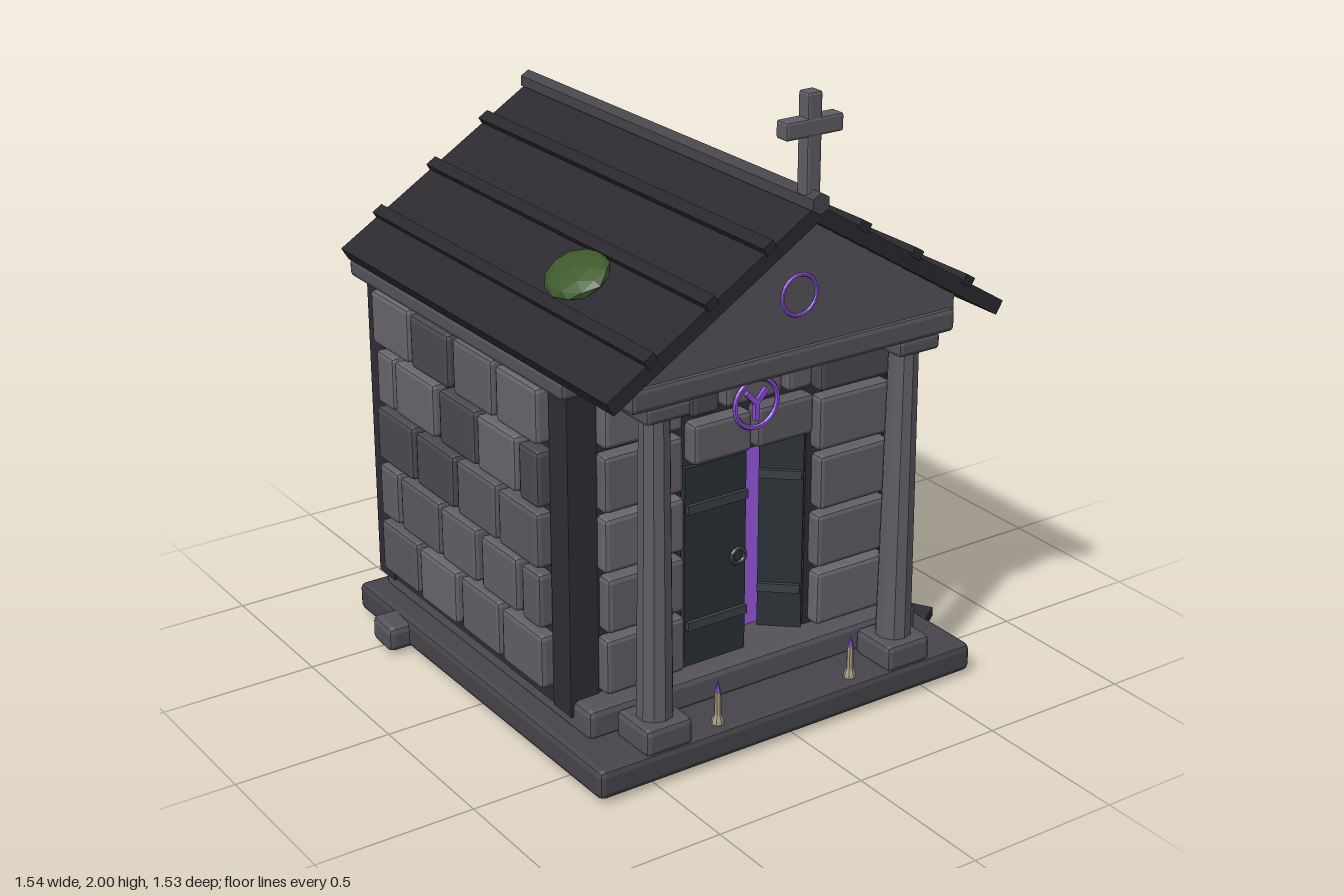
import * as THREE from 'three';
import { RoundedBoxGeometry } from 'three/addons/geometries/RoundedBoxGeometry.js';

const mat = (color, side = THREE.FrontSide) =>
  new THREE.MeshStandardMaterial({ color, flatShading: true, side });
const STONE = mat(0x55535a), SLAB = mat(0x47454b), MORTAR = mat(0x302e35), ROOF = mat(0x2b292f),
  TRIM = mat(0x29272d), PILLAR = mat(0x605e64), DOOR = mat(0x2a3136), IRON = mat(0x3a4046),
  GLOW = mat(0x9a5ae6, THREE.DoubleSide), RUNE = mat(0x8a4fd8), MOSS = mat(0x3d5a2c), WAX = mat(0xa39a80);
const BRICKS = [0x5c5a60, 0x68666c, 0x625f66, 0x4c4a4f].map((c) => mat(c));

// Small seeded generator for the masonry variation
let seed = 7;
const rand = () => (seed = (seed * 16807) % 2147483647) / 2147483647;

function add(parent, name, geometry, material, x = 0, y = 0, z = 0) {
  const mesh = new THREE.Mesh(geometry, material);
  mesh.name = name;
  mesh.position.set(x, y, z);
  parent.add(mesh);
  return mesh;
}

function group(parent, name, x = 0, y = 0, z = 0) {
  const g = new THREE.Group();
  g.name = name;
  g.position.set(x, y, z);
  parent.add(g);
  return g;
}

// Box given by its limits, with chamfered edges when bevel > 0
function block(parent, name, material, [x0, x1], [y0, y1], [z0, z1], bevel = 0) {
  const w = x1 - x0, h = y1 - y0, d = z1 - z0;
  const geo = bevel ? new RoundedBoxGeometry(w, h, d, 1, bevel) : new THREE.BoxGeometry(w, h, d);
  return add(parent, name, geo, material, (x0 + x1) / 2, (y0 + y1) / 2, (z0 + z1) / 2);
}

const ROW = 0.194, ROW0 = 0.2;
// One brick on a wall plane facing local +z
function brick(wall, x0, x1, row, h = 0.175) {
  const j = () => (rand() - 0.5) * 0.012;
  const y = ROW0 + row * ROW + 0.008;
  const m = block(wall, 'brick', BRICKS[Math.floor(rand() * 4)],
    [x0 + 0.01 + j(), x1 - 0.01 + j()], [y + j() / 2, y + h + j() / 2], [-0.03, 0.042 + j() / 2], 0.014);
  m.rotation.z = j();
}

// Running-bond wall: four bricks a row, halves at the ends of alternate rows
function brickWall(parent, name, width, x, z, turn) {
  const wall = group(parent, name, x, 0, z);
  wall.rotation.y = turn;
  const unit = width / 4;
  for (let r = 0; r < 5; r++) {
    const cuts = r % 2 ? [0, 0.55, 1.6, 2.55, 3.5, 4] : [0, 1, 2, 3, 4];
    for (let i = 0; i + 1 < cuts.length; i++)
      brick(wall, -width / 2 + cuts[i] * unit, -width / 2 + cuts[i + 1] * unit, r);
  }
}

export function createModel() {
  const root = new THREE.Group();
  root.name = 'mausoleum';
  const m = group(root, 'building', -0.015);

  // Plinth and step
  block(m, 'plinth', SLAB, [-0.685, 0.685], [0.02, 0.113], [-0.745, 0.7], 0.02);
  block(m, 'step', STONE, [-0.608, 0.608], [0.1, 0.2], [-0.705, 0.525], 0.02);

  // Wall core with a door recess, and corner posts
  block(m, 'wallCore', MORTAR, [-0.61, 0.61], [0.15, 1.2], [-0.713, 0.33]);
  for (const s of [-1, 1]) {
    const side = s < 0 ? [-0.61, -0.228] : [0.228, 0.61];
    block(m, 'frontWall', MORTAR, side, [0.15, 1.2], [0.33, 0.433]);
    for (const z of [[0.345, 0.44], [-0.72, -0.625]])
      block(m, 'cornerPost', MORTAR, s < 0 ? [-0.617, -0.52] : [0.52, 0.617], [0.15, 1.2], z);
  }
  block(m, 'doorHead', MORTAR, [-0.228, 0.228], [0.845, 1.2], [0.33, 0.433]);
  block(m, 'cornice', STONE, [-0.657, 0.657], [1.165, 1.225], [-0.76, 0.48], 0.015);

  // Masonry
  brickWall(m, 'leftWall', 0.98, 0.615, -0.14, Math.PI / 2);
  brickWall(m, 'rightWall', 0.98, -0.615, -0.14, -Math.PI / 2);
  brickWall(m, 'backWall', 1.07, 0, -0.718, Math.PI);
  const front = group(m, 'frontMasonry', 0, 0, 0.438);
  for (let r = 0; r < 5; r++) {
    brick(front, -0.525, -0.235, r);
    brick(front, 0.235, 0.525, r);
  }
  brick(front, -0.225, 0, 3.35, 0.13);
  brick(front, 0, 0.225, 3.35, 0.13);
  for (const [a, b] of [[-0.225, -0.11], [-0.11, 0.11], [0.11, 0.225]]) brick(front, a, b, 4.15, 0.14);

  // Doorway: closed leaf, glowing interior, leaf ajar
  add(m, 'doorGlow', new THREE.PlaneGeometry(0.45, 0.645), GLOW, 0, 0.522, 0.335);
  const leaf = (name, x, length, s) => {
    const g = group(m, name, x, 0, 0.43);
    const span = (a, b) => (s > 0 ? [a, b] : [-b, -a]);
    block(g, 'doorLeaf', DOOR, span(0, length), [0.2, 0.845], [-0.02, 0.02]);
    for (const y of [0.335, 0.715])
      block(g, 'hingeStrap', IRON, span(0.005, length), [y - 0.014, y + 0.014], [0.015, 0.033]);
    return g;
  };
  const closed = leaf('closedDoor', -0.225, 0.22, 1);
  add(closed, 'doorRing', new THREE.TorusGeometry(0.024, 0.008, 6, 12), IRON, 0.187, 0.52, 0.03);
  leaf('openDoor', 0.225, 0.135, -1).rotation.y = -0.72;

  // Columns carrying the entablature
  for (const x of [-0.441, 0.441]) {
    const c = group(m, 'column', x, 0, 0.612);
    block(c, 'columnBase', STONE, [-0.082, 0.082], [0.1, 0.19], [-0.082, 0.082], 0.018);
    add(c, 'columnShaft', new THREE.CylinderGeometry(0.046, 0.056, 0.96, 10), PILLAR, 0, 0.66, 0);
    block(c, 'capital', STONE, [-0.076, 0.076], [1.13, 1.185], [-0.076, 0.076], 0.014);
  }
  block(m, 'entablature', STONE, [-0.567, 0.567], [1.175, 1.25], [0.53, 0.692], 0.015);

  // Gable prism under the roof
  const gable = new THREE.Shape([[-0.567, 1.215], [0.567, 1.215], [0.567, 1.31], [0, 1.66], [-0.567, 1.31]]
    .map(([x, y]) => new THREE.Vector2(x, y)));
  add(m, 'gable', new THREE.ExtrudeGeometry(gable, { depth: 1.38, bevelEnabled: false }), STONE, 0, 0, -0.7);
  add(m, 'gableRing', new THREE.TorusGeometry(0.06, 0.006, 6, 24), RUNE, 0, 1.405, 0.682);

  // Roof slopes with battens, and ridge
  const roof = group(m, 'roof', 0, 1.69, 0.0075);
  const slope = Math.atan2(0.425, 0.69), len = Math.hypot(0.425, 0.69);
  for (const turn of [0, Math.PI]) {
    const half = group(roof, 'roofHalf');
    half.rotation.y = turn;
    const pitch = group(half, 'roofPitch');
    pitch.rotation.z = -slope;
    block(pitch, 'roofSlab', ROOF, [0, len], [-0.046, 0], [-0.748, 0.748]);
    for (const x of [0.16, 0.352, 0.547]) {
      const c = x / Math.cos(slope);
      block(pitch, 'batten', TRIM, [c - 0.019, c + 0.019], [-0.01, 0.02], [-0.753, 0.753]);
    }
  }
  add(roof, 'ridge', new THREE.CylinderGeometry(0.032, 0.032, 1.515, 6), SLAB, 0, 0.004, 0.004).rotation.x = Math.PI / 2;

  // Moss patches lying on the slopes
  for (const [x, z, s] of [[-0.45, 0.24, -1], [0.46, -0.28, 1]]) {
    const patch = add(m, 'moss', new THREE.IcosahedronGeometry(1, 1), MOSS, x, 1.425, z);
    patch.scale.set(0.096, 0.032, 0.12);
    patch.rotation.z = -s * slope;
  }

  // Ridge cross
  block(m, 'crossUpright', PILLAR, [-0.025, 0.025], [1.69, 2], [0.688, 0.735], 0.008);
  block(m, 'crossArm', PILLAR, [-0.097, 0.097], [1.875, 1.928], [0.686, 0.737], 0.008);

  // Three-armed ornament above the door
  const rune = group(m, 'ornament', 0, 1.012, 0.487);
  add(rune, 'ornamentRing', new THREE.TorusGeometry(0.076, 0.008, 6, 28), RUNE);
  for (const a of [0.75, -0.75, Math.PI]) {
    const arm = group(rune, 'ornamentArm');
    arm.rotation.z = a;
    add(arm, 'armBar', new THREE.BoxGeometry(0.016, 0.055, 0.014), RUNE, 0, 0.026, 0);
  }

  // Candles
  const wax = [[0, 0], [0.02, 0], [0.018, 0.012], [0.011, 0.03], [0.01, 0.105], [0, 0.105]]
    .map(([x, y]) => new THREE.Vector2(x, y));
  for (const x of [-0.245, 0.245]) {
    const c = group(m, 'candle', x, 0.112, 0.65);
    add(c, 'wax', new THREE.LatheGeometry(wax, 8), WAX);
    add(c, 'flame', new THREE.ConeGeometry(0.009, 0.04, 6), RUNE, 0, 0.124, 0);
  }

  // Rubble: loose block, broken slab and a chip under the plinth
  const loose = add(m, 'looseBlock', new RoundedBoxGeometry(0.16, 0.085, 0.12, 1, 0.02), STONE, -0.675, 0.063, -0.47);
  loose.rotation.x = 0.06;
  const broken = add(m, 'brokenSlab', new THREE.BoxGeometry(0.235, 0.032, 0.155), MORTAR, 0.642, 0.05, 0.395);
  broken.rotation.set(0, 0.535, 0.15);
  const chip = add(m, 'stoneChip', new THREE.IcosahedronGeometry(0.045, 0), MORTAR, -0.565, 0.025, -0.54);
  chip.scale.set(1, 0.55, 1);

  return root;
}
